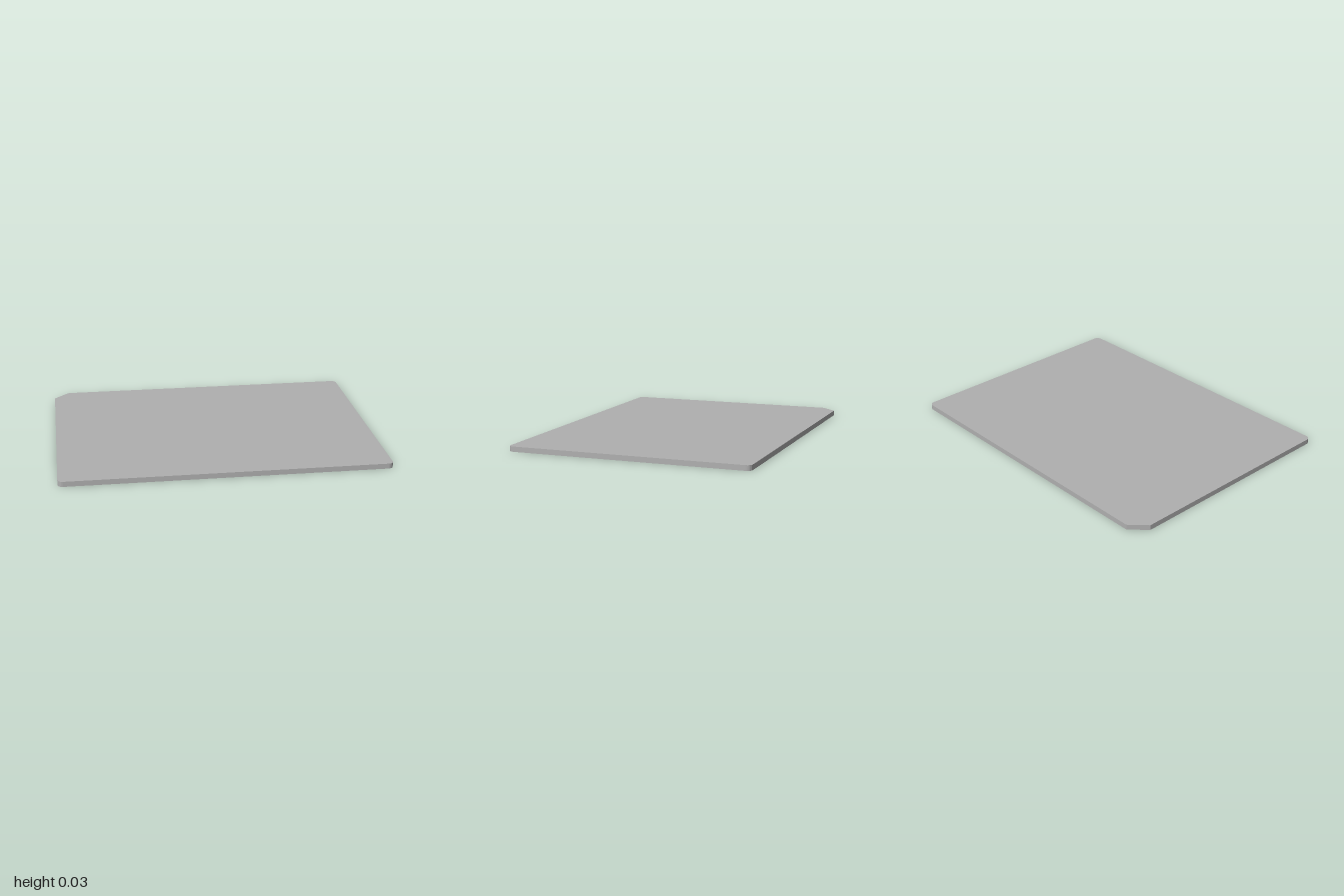
import * as THREE from 'three';
import { toCreasedNormals } from 'three/addons/utils/BufferGeometryUtils.js';

const HALF_X = 1, HALF_Z = 0.752, HEIGHT = 0.032;
const WALL = 0.016, FLOOR_Y = 0.018, CHAMFER = 0.095, RADIUS = 0.032;

// Plate outline moved inwards by an inset: three rounded corners, one cut at the back
function trace(path, inset) {
  const x = HALF_X - inset, z = HALF_Z - inset;
  const r = RADIUS - inset, c = CHAMFER - inset * (2 - Math.SQRT2);
  path.moveTo(-x + r, -z);
  path.lineTo(x - r, -z);
  path.absarc(x - r, -z + r, r, -Math.PI / 2, 0, false);
  path.lineTo(x, z - r);
  path.absarc(x - r, z - r, r, 0, Math.PI / 2, false);
  path.lineTo(-x + c, z);
  path.lineTo(-x, z - c);
  path.lineTo(-x, -z + r);
  path.absarc(-x + r, -z + r, r, Math.PI, Math.PI * 1.5, false);
  return path;
}

// Flat shape laid down and raised from y0 to y1
function slab(shape, y0, y1, curveSegments) {
  const g = new THREE.ExtrudeGeometry(shape, { depth: y1 - y0, bevelEnabled: false, curveSegments });
  g.rotateX(-Math.PI / 2).translate(0, y0, 0);
  return toCreasedNormals(g, 0.6);
}

export function createModel() {
  const model = new THREE.Group();
  model.name = 'plateLid';
  const grey = new THREE.MeshStandardMaterial({ color: 0xb0b0b0 });
  grey.name = 'grey plastic';

  const add = (name, geometry, parent = model) => {
    const mesh = new THREE.Mesh(geometry, grey);
    mesh.name = name;
    parent.add(mesh);
    return mesh;
  };

  // Top sheet
  add('topPanel', slab(trace(new THREE.Shape(), 0), FLOOR_Y, HEIGHT, 8));

  // Skirt running round the underside
  const skirt = trace(new THREE.Shape(), 0);
  skirt.holes.push(trace(new THREE.Path(), WALL));
  add('skirt', slab(skirt, 0, FLOOR_Y, 8));

  // Low rings on the underside, 12 by 8
  const ring = new THREE.Shape().absarc(0, 0, 0.07, 0, Math.PI * 2, false);
  ring.holes.push(new THREE.Path().absarc(0, 0, 0.063, 0, Math.PI * 2, true));
  const ringGeometry = slab(ring, FLOOR_Y - 0.004, FLOOR_Y, 16);
  const rings = new THREE.Group();
  rings.name = 'wellRings';
  model.add(rings);
  const pitch = 0.155;
  for (let i = 0; i < 12; i++) {
    for (let j = 0; j < 8; j++) {
      add('wellRing', ringGeometry, rings).position.set((i - 5.5) * pitch, 0, (j - 3.5) * pitch);
    }
  }
  return model;
}
